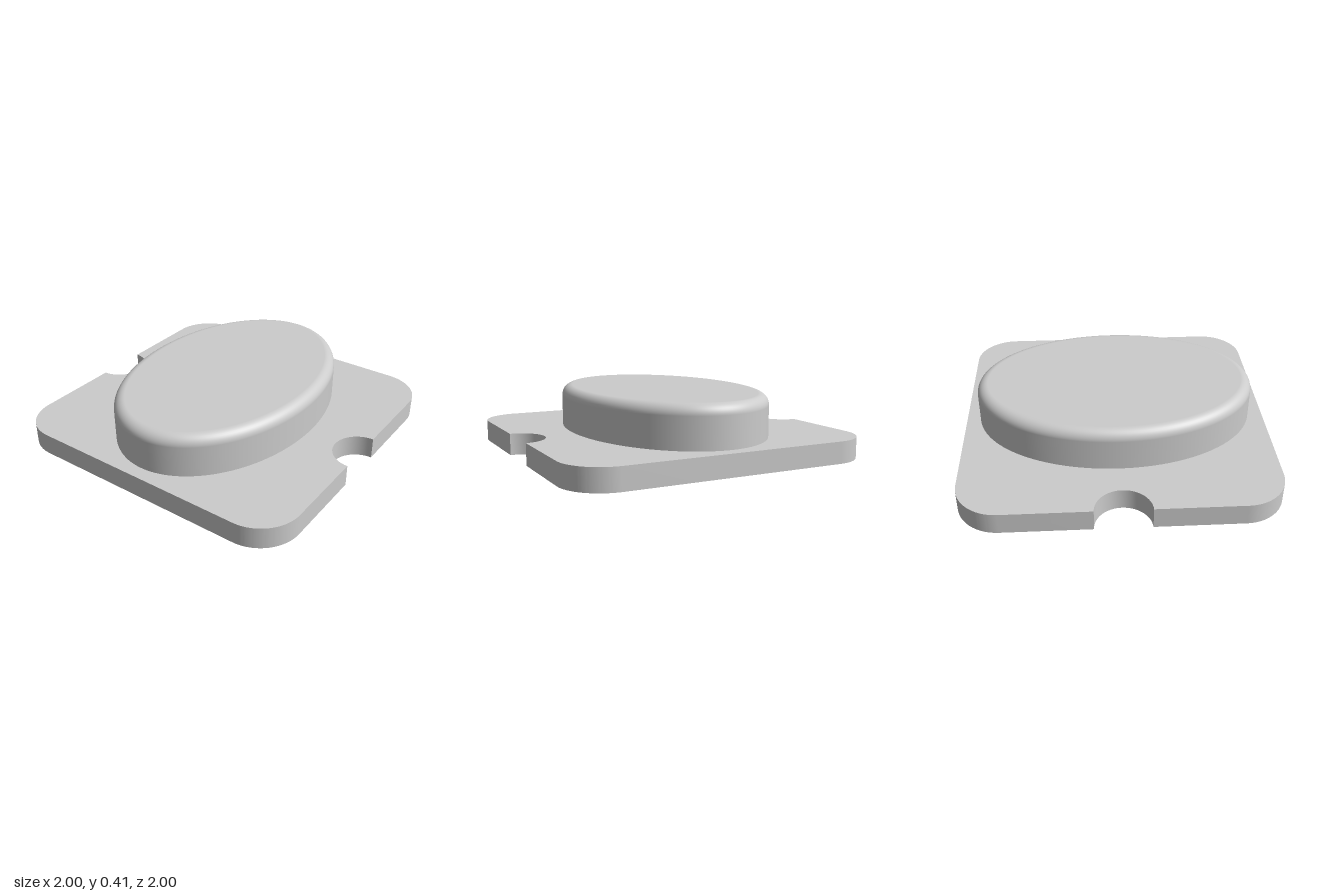
import * as THREE from 'three';
import { toCreasedNormals } from 'three/addons/utils/BufferGeometryUtils.js';

const BASE_H = 0.14, TOP = 0.414;

// Square plate with rounded corners and a half-round notch front and back
function plateGeometry(half, corner, notch) {
  const s = new THREE.Shape(), c = half - corner, q = Math.PI / 2;
  s.moveTo(-c, -half);
  s.lineTo(-notch, -half);
  s.absarc(0, -half, notch, Math.PI, 0, true);
  s.lineTo(c, -half);
  s.absarc(c, -c, corner, -q, 0);
  s.absarc(c, c, corner, 0, q);
  s.lineTo(notch, half);
  s.absarc(0, half, notch, 0, -Math.PI, true);
  s.lineTo(-c, half);
  s.absarc(-c, c, corner, q, Math.PI);
  s.absarc(-c, -c, corner, Math.PI, 3 * q);
  const g = new THREE.ExtrudeGeometry(s, { depth: BASE_H, bevelEnabled: false, curveSegments: 24 });
  g.rotateX(-Math.PI / 2);
  return toCreasedNormals(g, 0.6);
}

// Elliptical pad: straight wall, constant-radius fillet, flat top
function padGeometry(a, b, y0, y1, fillet, segs = 128, steps = 10) {
  const pos = [], nor = [], idx = [];
  // Each ring: height, inward offset, angle of its normal above horizontal
  const rings = [[y0, 0, 0]];
  for (let i = 0; i <= steps; i++) {
    const t = (i / steps) * Math.PI / 2;
    rings.push([y1 - fillet + fillet * Math.sin(t), fillet * (1 - Math.cos(t)), t]);
  }
  for (const [y, inset, t] of rings) {
    for (let j = 0; j <= segs; j++) {
      const p = (j / segs) * Math.PI * 2, c = Math.cos(p), s = Math.sin(p);
      const len = Math.hypot(b * c, a * s), nx = b * c / len, nz = a * s / len;
      pos.push(a * c - nx * inset, y, b * s - nz * inset);
      nor.push(nx * Math.cos(t), Math.sin(t), nz * Math.cos(t));
    }
  }
  const row = segs + 1, last = (rings.length - 1) * row, centre = rings.length * row;
  pos.push(0, y1, 0);
  nor.push(0, 1, 0);
  for (let j = 0; j < segs; j++) {
    for (let i = 0; i < rings.length - 1; i++) {
      const k = i * row + j;
      idx.push(k, k + row, k + 1, k + 1, k + row, k + row + 1);
    }
    idx.push(last + j, centre, last + j + 1);
  }
  const g = new THREE.BufferGeometry();
  g.setAttribute('position', new THREE.Float32BufferAttribute(pos, 3));
  g.setAttribute('normal', new THREE.Float32BufferAttribute(nor, 3));
  g.setIndex(idx);
  return g;
}

export function createModel() {
  const model = new THREE.Group();
  const material = new THREE.MeshStandardMaterial({ color: 0xcccccc });
  const add = (name, geometry) => {
    const mesh = new THREE.Mesh(geometry, material);
    mesh.name = name;
    model.add(mesh);
  };
  add('basePlate', plateGeometry(1, 0.27, 0.175));
  add('ovalPad', padGeometry(0.913, 0.622, BASE_H, TOP, 0.07));
  return model;
}
